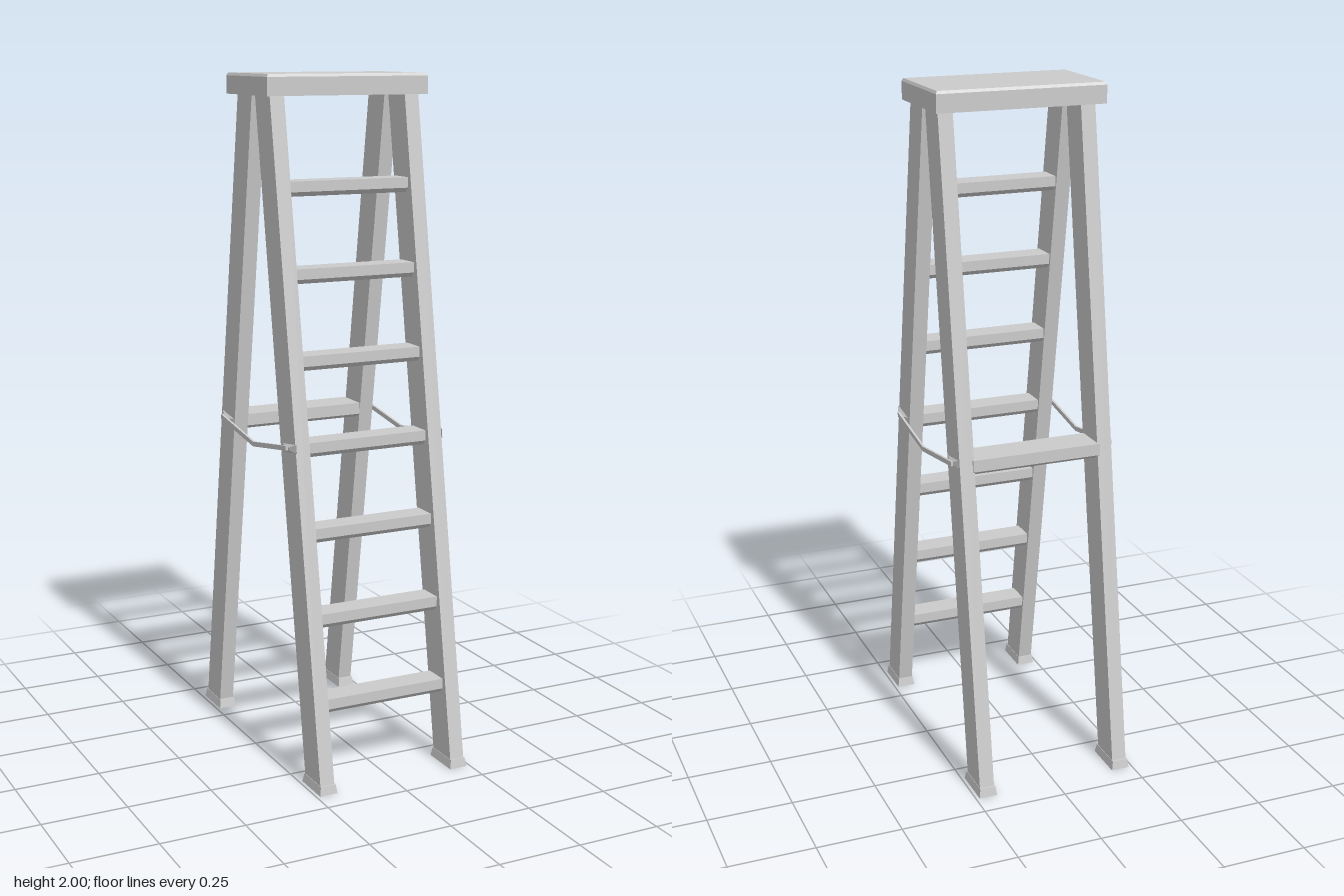
import * as THREE from 'three';

const material = new THREE.MeshStandardMaterial({ color: 0xcccccc, flatShading: true });

function add(parent, geometry, name, x = 0, y = 0, z = 0) {
  const mesh = new THREE.Mesh(geometry, material);
  mesh.name = name;
  mesh.position.set(x, y, z);
  parent.add(mesh);
  return mesh;
}

// Extrudes a closed (z, y) side profile along x, centred on x = 0
function sideProfile(points, width) {
  const shape = new THREE.Shape(points.map(([z, y]) => new THREE.Vector2(-z, y)));
  const geometry = new THREE.ExtrudeGeometry(shape, { depth: width, bevelEnabled: false });
  geometry.translate(0, 0, -width / 2);
  geometry.rotateY(Math.PI / 2);
  return geometry;
}

// Box whose top face is scaled inwards
function taperedBox(w, h, d, sx, sz) {
  const geometry = new THREE.BoxGeometry(w, h, d);
  const p = geometry.attributes.position;
  for (let i = 0; i < p.count; i++) {
    if (p.getY(i) > 0) {
      p.setX(i, p.getX(i) * sx);
      p.setZ(i, p.getZ(i) * sz);
    }
  }
  geometry.computeVertexNormals();
  return geometry;
}

export function createModel() {
  const ladder = new THREE.Group();
  ladder.name = 'stepLadder';

  // Top platform with a fine chamfer along its upper edge
  add(ladder, new THREE.BoxGeometry(0.504, 0.052, 0.286), 'topPlatform', -0.002, 1.966, -0.013);
  add(ladder, taperedBox(0.504, 0.008, 0.286, 0.984, 0.972), 'topPlatformEdge', -0.002, 1.996, -0.013);

  // Slanted legs and flared feet
  const frontLeg = [[0.42, 0.012], [0.1, 1.95], [0, 1.95], [0.32, 0.012]];
  const backLeg = [[-0.42, 0.012], [-0.12, 1.95], [-0.02, 1.95], [-0.32, 0.012]];
  for (const side of [-1, 1]) {
    const label = side > 0 ? 'left' : 'right';
    add(ladder, sideProfile(frontLeg, 0.044), label + 'FrontLeg', side * 0.212);
    add(ladder, sideProfile(backLeg, 0.044), label + 'BackLeg', side * 0.212);
    add(ladder, taperedBox(0.055, 0.026, 0.118, 0.84, 0.92), label + 'FrontFoot', side * 0.212, 0.013, 0.369);
    add(ladder, taperedBox(0.055, 0.026, 0.124, 0.84, 0.92), label + 'BackFoot', side * 0.212, 0.013, -0.368);

    // Folding spreader: two thin bars meeting at a low hinge
    const bar = [
      [0.228, 0.978], [0, 0.942], [-0.242, 0.978],
      [-0.242, 0.964], [0, 0.928], [0.228, 0.964],
    ];
    add(ladder, sideProfile(bar, 0.007), label + 'Spreader', side * 0.246);

    // Wedge brackets holding the spreader to each leg
    for (const end of [-1, 1]) {
      const bracket = new THREE.CylinderGeometry(0.3, 1, 1, 4, 1);
      bracket.rotateY(Math.PI / 4);
      bracket.rotateZ(-side * Math.PI / 2);
      bracket.scale(0.009, 0.018, 0.064);
      const mesh = add(ladder, bracket, label + (end > 0 ? 'Front' : 'Back') + 'Bracket',
        side * 0.238, 0.968, end * 0.222);
      mesh.rotation.x = -end * 0.14;
    }
  }

  // Treads with chamfered lower edges, following the slope of the front legs
  const tread = [
    [0.038, 0.021], [0.038, -0.009], [0.026, -0.022],
    [-0.026, -0.022], [-0.038, -0.009], [-0.038, 0.021],
  ];
  const treadGeometry = sideProfile(tread, 0.39);
  for (let i = 0; i < 7; i++) {
    add(ladder, treadGeometry, 'tread' + (i + 1), 0, 0.238 + i * 0.241, 0.327 - i * 0.0398);
  }

  // Wide rail joining the back legs
  const rail = [
    [-0.175, 0.985], [-0.175, 0.95], [-0.188, 0.94],
    [-0.265, 0.94], [-0.278, 0.95], [-0.278, 0.985],
  ];
  add(ladder, sideProfile(rail, 0.39), 'backRail');

  return ladder;
}
